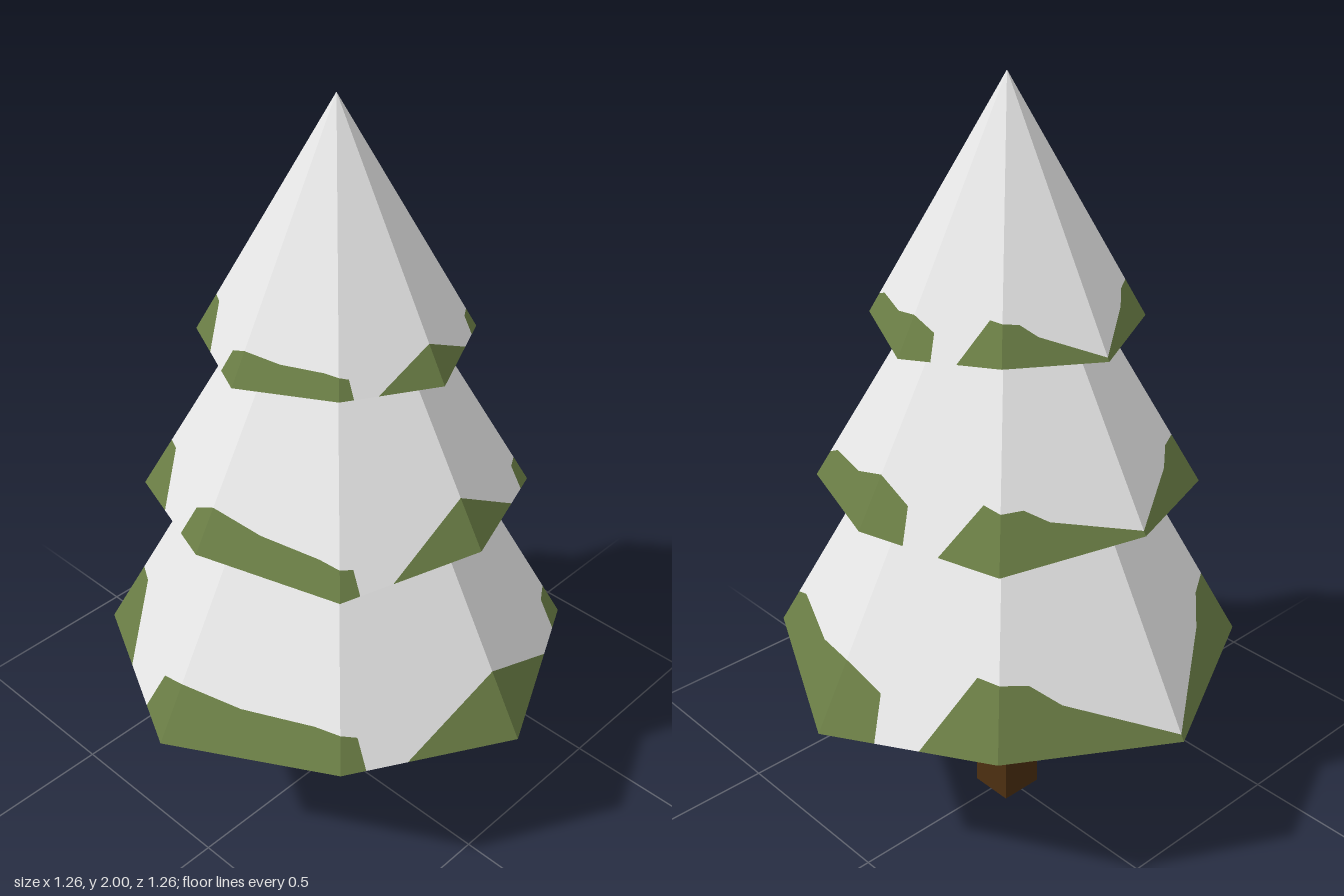
import * as THREE from 'three';

const snow = new THREE.MeshStandardMaterial({ color: 0xf2f2f2 });
snow.name = 'snow white';
const needles = new THREE.MeshStandardMaterial({ color: 0x6a7d45 });
needles.name = 'needle green';
const bark = new THREE.MeshStandardMaterial({ color: 0x4c2f10 });
bark.name = 'bark brown';

// Lower edge of the snow on each of the eight facets, starting at the front and
// turning towards +x: [across the facet, up towards the tip].
const snowLines = [
  [[0, 0.15], [0.64, 0], [0.85, 0], [0.9, 0.07], [1, 0.08]],
  [[0, 0.08], [0.1, 0.1], [0.6, 0.11], [1, 0.155]],
  [[0, 0.155], [0.28, 0.1], [0.32, 0], [0.57, 0], [0.86, 0.16], [1, 0.15]],
  [[0, 0.15], [0.18, 0.145], [0.37, 0.1], [1, 0.015]],
  [[0, 0.015], [0.63, 0.1], [0.82, 0.145], [1, 0.155]],
  [[0, 0.155], [0.12, 0.15], [0.41, 0], [0.72, 0], [0.78, 0.09], [1, 0.13]],
  [[0, 0.13], [0.4, 0.1], [0.85, 0.09], [1, 0.08]],
  [[0, 0.08], [0.1, 0.07], [0.14, 0], [0.37, 0], [1, 0.15]],
];

// Flat-shaded mesh from a list of triangle corners
function facetMesh(name, points, material) {
  const geometry = new THREE.BufferGeometry().setFromPoints(points);
  geometry.computeVertexNormals();
  const mesh = new THREE.Mesh(geometry, material);
  mesh.name = name;
  return mesh;
}

// One eight-sided tier: corners alternate between an axis and a diagonal ring
function makeTier({ name, axis, diagonal, tip }) {
  const apex = new THREE.Vector3(0, tip, 0);
  const base = new THREE.Vector3(0, (axis[1] + diagonal[1]) / 2, 0);
  const corners = snowLines.map((_, i) => {
    const [radius, y] = i % 2 ? diagonal : axis;
    const angle = (i * Math.PI) / 4;
    return new THREE.Vector3(Math.sin(angle) * radius, y, Math.cos(angle) * radius);
  });
  const white = [], green = [], under = [];

  snowLines.forEach((line, i) => {
    const p = corners[i], q = corners[(i + 1) % 8];
    const at = (u, t) => p.clone().lerp(q, u).lerp(apex, t);
    for (let k = 0; k < line.length - 1; k++) {
      const [u0, t0] = line[k], [u1, t1] = line[k + 1];
      const a = at(u0, 0), b = at(u1, 0), c = at(u1, t1), d = at(u0, t0);
      white.push(d, c, apex);
      if (t1 > 0) green.push(a, b, c);
      if (t0 > 0) green.push(a, c, d);
    }
    under.push(q, p, base);
  });

  const tier = new THREE.Group();
  tier.name = name;
  tier.add(
    facetMesh(name + 'Snow', white, snow),
    facetMesh(name + 'Fringe', green, needles),
    facetMesh(name + 'Underside', under, needles),
  );
  return tier;
}

export function createModel() {
  const model = new THREE.Group();
  model.name = 'snowyTree';

  // Square trunk
  const trunk = new THREE.Mesh(new THREE.BoxGeometry(0.12, 0.55, 0.12), bark);
  trunk.name = 'trunk';
  trunk.position.y = 0.275;
  model.add(trunk);

  // Three stacked tiers, rings given as [radius, height]
  [
    { name: 'lowerTier', axis: [0.628, 0.49], diagonal: [0.6, 0.53], tip: 1.6 },
    { name: 'middleTier', axis: [0.475, 1.0], diagonal: [0.485, 0.97], tip: 1.8 },
    { name: 'upperTier', axis: [0.34, 1.4], diagonal: [0.332, 1.418], tip: 2 },
  ].forEach((spec) => model.add(makeTier(spec)));

  return model;
}
